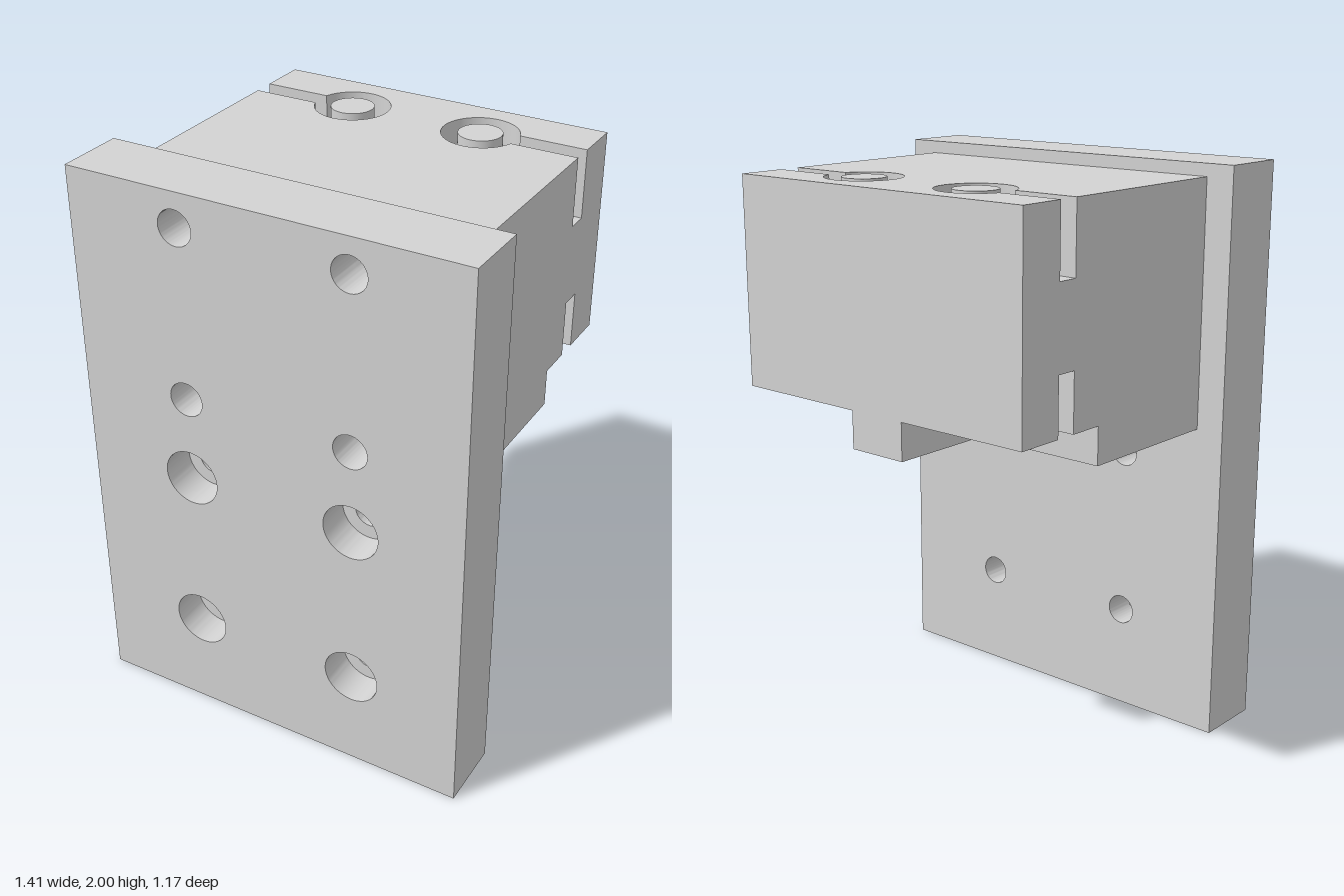
import * as THREE from 'three';
import { toCreasedNormals } from 'three/addons/utils/BufferGeometryUtils.js';

// Post positions and keyhole sizes, in plan (plan y points to the rear, -z)
const POST_X = 0.242, POST_Y = 0.378, POST_R = 0.075;
const RING_R = 0.131, SLOT_HALF = 0.037;
const BLOCK = { x: 0.603, front: -0.342, rear: 0.585 };

function polygon(points) {
  return new THREE.Shape(points.map(([x, y]) => new THREE.Vector2(x, y)));
}

// Rectangular outline with a slot from each side opening into a round recess
function keyholeOutline() {
  const { x, front, rear } = BLOCK;
  const a = Math.asin(SLOT_HALF / RING_R);
  const s = new THREE.Shape();
  s.moveTo(-x, front);
  s.lineTo(x, front);
  s.lineTo(x, POST_Y - SLOT_HALF);
  s.absarc(POST_X, POST_Y, RING_R, -a, a, true);
  s.lineTo(x, POST_Y + SLOT_HALF);
  s.lineTo(x, rear);
  s.lineTo(-x, rear);
  s.lineTo(-x, POST_Y + SLOT_HALF);
  s.absarc(-POST_X, POST_Y, RING_R, Math.PI - a, Math.PI + a, true);
  s.lineTo(-x, POST_Y - SLOT_HALF);
  s.closePath();
  return s;
}

function extrude(shape, depth) {
  const g = new THREE.ExtrudeGeometry(shape, { depth, bevelEnabled: false, curveSegments: 40 });
  return toCreasedNormals(g, 0.6);
}

export function createModel() {
  const model = new THREE.Group();
  model.name = 'mountingBracket';
  const metal = new THREE.MeshStandardMaterial({ color: 0xd3d3d3 });
  metal.name = 'light grey metal';

  const add = (parent, name, geometry) => {
    const mesh = new THREE.Mesh(geometry, metal);
    mesh.name = name;
    parent.add(mesh);
    return mesh;
  };

  // Mounting plate: two layers, so that the lower holes are counterbored
  const plate = new THREE.Group();
  plate.name = 'mountingPlate';
  model.add(plate);
  const plateLayer = (name, z0, z1, lowerRadius) => {
    const s = polygon([[-0.703, 0], [0.703, 0], [0.703, 2], [-0.703, 2]]);
    const rows = [[1.88, 0.061], [1.275, 0.061], [0.97, lowerRadius], [0.366, lowerRadius]];
    for (const [y, r] of rows) {
      for (const x of [-0.303, 0.303]) {
        const hole = new THREE.Path();
        hole.absarc(x, y, r, 0, Math.PI * 2, true);
        s.holes.push(hole);
      }
    }
    add(plate, name, extrude(s, z1 - z0)).position.z = z0;
  };
  plateLayer('plateBackLayer', 0.342, 0.46, 0.052);
  plateLayer('plateFrontLayer', 0.46, 0.585, 0.1);

  // Clamp block: stacked horizontal layers
  const block = new THREE.Group();
  block.name = 'block';
  model.add(block);
  const { x, front, rear } = BLOCK;
  const blockLayer = (name, shape, y0, y1) => {
    const g = extrude(shape, y1 - y0).rotateX(-Math.PI / 2);
    add(block, name, g).position.y = y0;
  };
  // Base with a central tongue between two corner pockets
  const tongue = 0.11, pocket = 0.216;
  blockLayer('blockBase', polygon([
    [-x, front], [x, front], [x, pocket], [tongue, pocket],
    [tongue, rear], [-tongue, rear], [-tongue, pocket], [-x, pocket],
  ]), 1.107, 1.237);
  blockLayer('lowerKeyholeLayer', keyholeOutline(), 1.237, 1.437);
  blockLayer('blockCore', polygon([[-x, front], [x, front], [x, rear], [-x, rear]]), 1.437, 1.718);
  blockLayer('upperKeyholeLayer', keyholeOutline(), 1.718, 1.957);

  // Round posts standing in the recesses, flush with the surfaces around them
  for (const [name, y0, y1] of [['lowerPost', 1.237, 1.437], ['upperPost', 1.718, 1.957]]) {
    for (const side of [-1, 1]) {
      const g = new THREE.CylinderGeometry(POST_R, POST_R, y1 - y0, 48);
      add(block, name, g).position.set(side * POST_X, (y0 + y1) / 2, -POST_Y);
    }
  }
  return model;
}
